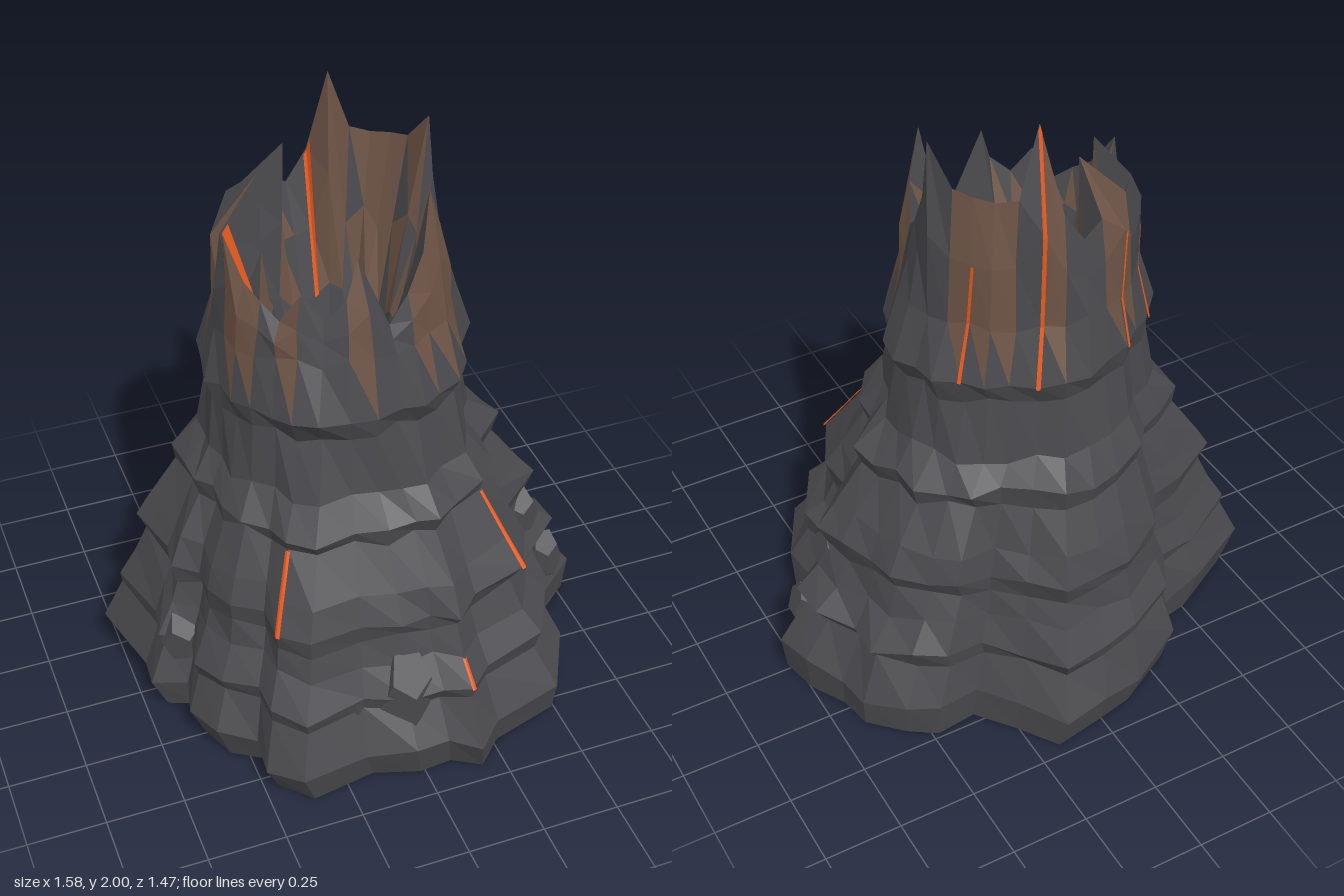
import * as THREE from 'three';

// Ground outline (x, z), running from +x towards +z
const OUTLINE = [
  [0.79, 0.02], [0.57, 0.2], [0.6, 0.36], [0.49, 0.57], [0.25, 0.64], [0.16, 0.73], [0.07, 0.67], [-0.04, 0.68],
  [-0.19, 0.63], [-0.41, 0.67], [-0.5, 0.57], [-0.49, 0.45], [-0.6, 0.38], [-0.65, 0.25], [-0.62, 0.13], [-0.73, 0.09],
  [-0.72, -0.02], [-0.79, -0.27], [-0.55, -0.4], [-0.4, -0.43], [-0.34, -0.57], [-0.14, -0.68], [0, -0.71], [0.16, -0.74],
  [0.25, -0.6], [0.34, -0.48], [0.48, -0.5], [0.57, -0.44], [0.67, -0.34], [0.69, -0.23], [0.76, -0.11],
];
// Height of the jagged rim above each outline point
const RIM = [
  1.6, 1.55, 1.66, 1.81, 1.64, 1.53, 1.45, 1.68, 1.56, 1.5, 1.58, 1.48, 1.53, 1.57, 1.69, 1.6,
  1.63, 1.8, 1.7, 1.68, 1.82, 1.66, 1.62, 1.72, 2.0, 1.79, 1.78, 1.79, 1.8, 1.91, 1.72,
];
// Spikes leaning over the vent: column -> tip (x, z)
const SPIKES = {
  3: [0.18, 0.14], 7: [-0.07, 0.22], 14: [-0.39, -0.02], 17: [-0.24, -0.14], 20: [-0.13, -0.24],
  24: [0.03, -0.29], 29: [0.27, -0.09],
};
// Slope rings: [height, spread between rim (0) and ground outline (1)], with overhanging ledges
const SLOPE = [
  [0, 0.92], [0.12, 1], [0.26, 0.82], [0.31, 0.87], [0.4, 0.7], [0.49, 0.62], [0.55, 0.67],
  [0.64, 0.56], [0.78, 0.35], [0.835, 0.39], [0.92, 0.2], [1.12, 0.11], [1.2, 0.18], [1.37, 0.05],
];
const N = OUTLINE.length, CX = -0.05, CZ = -0.05;

function seeded(seed) {
  return () => {
    seed = (seed * 16807) % 2147483647;
    return seed / 2147483647;
  };
}

// Point on an ellipse round the vent, k = 1 at the rim
function ventPoint(i, y, k) {
  const a = THREE.MathUtils.degToRad(8 + (i * 360) / N);
  return new THREE.Vector3(CX + 0.35 * k * Math.cos(a), y, CZ + 0.32 * k * Math.sin(a));
}

function slopePoint(i, s, y) {
  const base = new THREE.Vector3(OUTLINE[i][0], y, OUTLINE[i][1]);
  return ventPoint(i, y, 1).lerp(base, s);
}

function rimPoint(i) {
  const tip = SPIKES[i];
  return tip ? new THREE.Vector3(tip[0], RIM[i], tip[1]) : ventPoint(i, RIM[i], 0.94);
}

function makeMesh(name, points, material) {
  const g = new THREE.BufferGeometry().setFromPoints(points);
  g.computeVertexNormals();
  const mesh = new THREE.Mesh(g, material);
  mesh.name = name;
  return mesh;
}

export function createModel() {
  const group = new THREE.Group();
  group.name = 'volcano';
  const mat = (name, color) => {
    const m = new THREE.MeshStandardMaterial({ color, flatShading: true });
    m.name = name;
    return m;
  };
  const rock = mat('darkRock', 0x4a494d);
  const scorched = mat('scorchedRock', 0x6e5446);
  const lava = mat('lava', 0xe85a1e);
  const rnd = seeded(77);
  const jit = (a) => (rnd() * 2 - 1) * a;

  // Rings from the centre of the underside, up the slope, over the rim and down into the vent
  const rings = [];
  const addRing = (fn) => rings.push(OUTLINE.map((_, i) => fn(i)));
  addRing(() => new THREE.Vector3(0, 0, 0));
  SLOPE.forEach(([y, s], j) => addRing((i) => {
    const k = j < 2 ? 0 : 1;
    const p = slopePoint(i, s + jit(0.03) * k, y + jit(0.018) * (j ? 1 : 0));
    if (j === 0) p.x += 0.025;
    return p;
  }));
  addRing((i) => slopePoint(i, 0.02, 1.37 + (RIM[i] - 1.37) * 0.5).add(new THREE.Vector3(jit(0.01), 0, jit(0.01))));
  const rimRing = rings.length;
  addRing(rimPoint);
  addRing((i) => rimPoint(i).lerp(ventPoint(i, 1.27, 0.6), 0.5 + jit(0.1)));
  addRing((i) => ventPoint(i, 1.27 + jit(0.03), 0.6 + jit(0.05)));
  addRing((i) => ventPoint(i, 1.15, 0.49 + jit(0.03)));
  const lavaRing = rings.length - 1;
  addRing((i) => ventPoint(i, 1.16, 0.25));
  addRing(() => new THREE.Vector3(CX, 1.165, CZ));

  const faces = { rock: [], scorched: [], lava: [] };
  const scorchedColumns = [1, 2, 3, 4, 7, 10, 12, 13, 16, 19, 20, 23, 25, 26, 27];
  for (let j = 0; j < rings.length - 1; j++) {
    for (let i = 0; i < N; i++) {
      const n = (i + 1) % N;
      const a = rings[j][i], b = rings[j + 1][i], c = rings[j + 1][n], d = rings[j][n];
      let first = 'rock', second = 'rock';
      if (j >= lavaRing) first = second = 'lava';
      else if (j >= rimRing && j < rimRing + 2) {
        if (i % 3 !== 1) first = 'scorched';
        if (i > 22 && i < 29) second = 'scorched';
      } else if (j >= rimRing - 3 && j < rimRing && scorchedColumns.includes(i)) {
        first = 'scorched';
        if (j > rimRing - 3) second = 'scorched';
      }
      faces[first].push(a, b, c);
      faces[second].push(a, c, d);
    }
  }
  group.add(makeMesh('rockSlopes', faces.rock, rock));
  group.add(makeMesh('scorchedRim', faces.scorched, scorched));
  group.add(makeMesh('lavaPool', faces.lava, lava));

  // Glowing cracks folded over one column of the wall: [column, first ring, last ring, width on each side]
  const cracks = [
    [10, 7, 9, 0.1], [3, 7, 9, 0.06], [5, 4, 5, 0.08],
    [24, 13, 16, 0.08], [27, 13, 15, 0.07], [20, 13, 15, 0.07], [18, 13, 15, 0.07],
    [23, 16, 18, 0.15], [16, 16, 18, 0.15],
  ];
  const strip = [];
  for (const [i, from, to, w] of cracks) {
    const sign = from >= rimRing ? -1 : 1;
    const at = (j, side) => {
      const p = rings[j][i].clone().lerp(rings[j][(i + side + N) % N], Math.abs(side) * w);
      const out = new THREE.Vector3(p.x - CX, 0, p.z - CZ).normalize();
      return p.addScaledVector(out, 0.008 * sign);
    };
    for (let j = from; j < to; j++) {
      for (const side of [-1, 0]) {
        const a = at(j, side), b = at(j + 1, side), c = at(j + 1, side + 1), d = at(j, side + 1);
        strip.push(a, b, c, a, c, d);
      }
    }
  }
  group.add(makeMesh('lavaCracks', strip, lava));

  // Boulders half buried in the lower slopes: [x, y, z, sx, sy, sz]
  const boulders = [
    [-0.03, 0.24, 0.54, 0.11, 0.2, 0.1], [-0.2, 0.28, 0.5, 0.1, 0.08, 0.08],
    [0.57, 0.41, 0.03, 0.08, 0.11, 0.07], [0.67, 0.2, 0.05, 0.07, 0.12, 0.06], [-0.61, 0.28, 0.06, 0.08, 0.1, 0.09],
  ];
  for (const [x, y, z, sx, sy, sz] of boulders) {
    const b = new THREE.Mesh(new THREE.DodecahedronGeometry(1), rock);
    b.position.set(x, y, z);
    b.scale.set(sx, sy, sz);
    b.name = 'boulder';
    group.add(b);
  }

  // Flat crust shards floating in the lava
  for (let k = 0; k < 7; k++) {
    const a = k * 0.9, r = k === 0 ? 0.04 : 0.12;
    const s = new THREE.Mesh(new THREE.ConeGeometry(0.032, 0.012, 3), rock);
    s.position.set(CX + r * Math.cos(a), 1.166, CZ + r * Math.sin(a));
    s.rotation.y = k * 1.7;
    s.name = 'crustShard';
    group.add(s);
  }
  return group;
}
